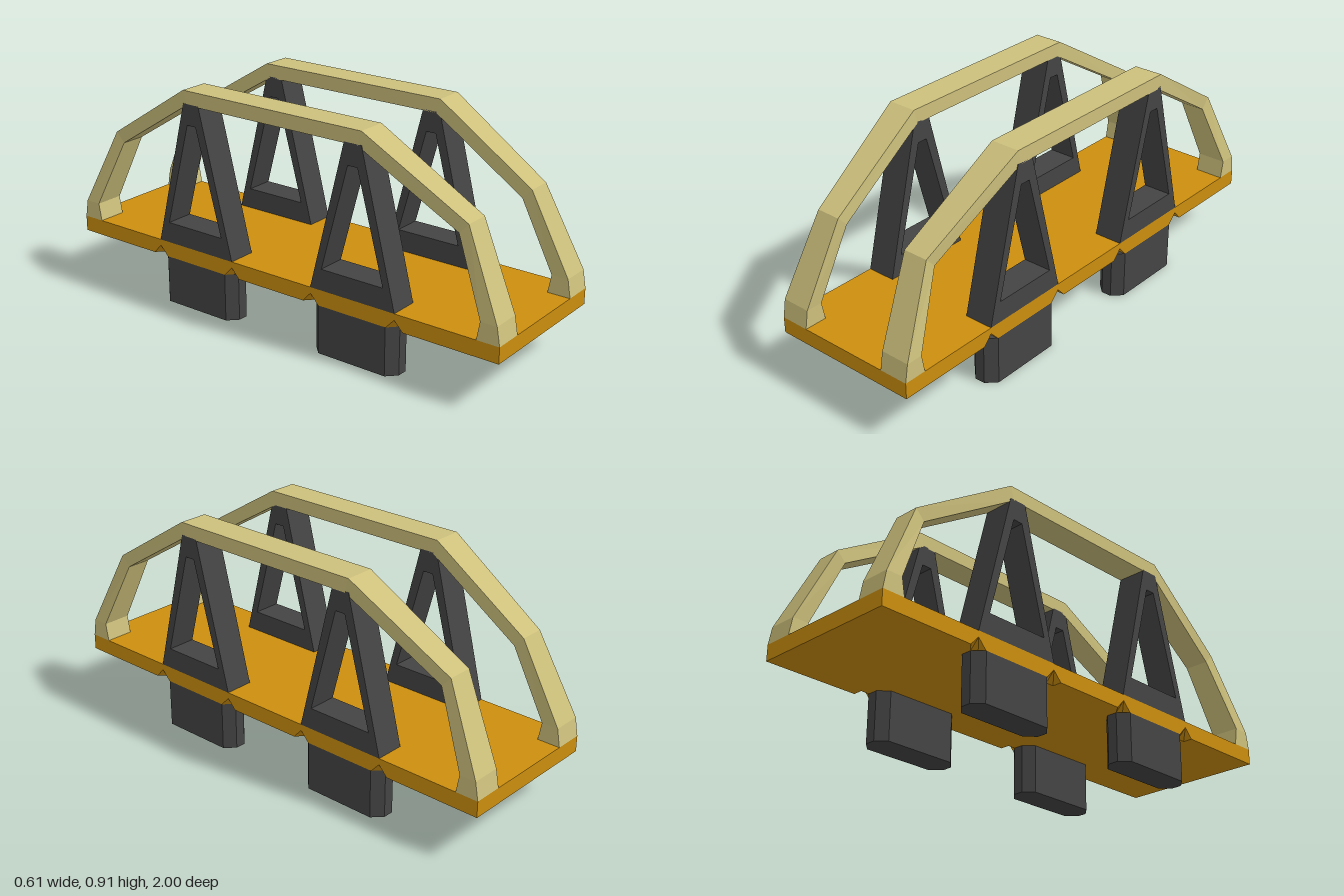
import * as THREE from 'three';

const OUT = 0.307, IN = 0.188, BAND = 0.268;
const BOTTOM = 0.196, TOP = 0.26;

const mat = (name, color) => {
  const m = new THREE.MeshStandardMaterial({ color });
  m.name = name;
  return m;
};

const part = (parent, name, geometry, material) => {
  const mesh = new THREE.Mesh(geometry, material);
  mesh.name = name;
  parent.add(mesh);
  return mesh;
};

const polygon = (pts) => new THREE.Shape(pts.map(([a, b]) => new THREE.Vector2(a, b)));

// Extrudes a (z, y) outline sideways, from x0 to x1
function sideExtrude(shape, x0, x1) {
  const g = new THREE.ExtrudeGeometry(shape, { depth: x1 - x0, bevelEnabled: false });
  return g.rotateY(-Math.PI / 2).translate(x1, 0, 0);
}

// Deck edge strip with V notches that taper away inwards
function deckEdge() {
  const pts = [[-1, BOTTOM]];
  for (const z of [-0.57, -0.193, 0.193, 0.57]) {
    pts.push([z - 0.036, BOTTOM], [z, 0.235], [z + 0.036, BOTTOM]);
  }
  pts.push([1, BOTTOM], [1, TOP], [-1, TOP]);
  const g = sideExtrude(polygon(pts), BAND, OUT);
  const p = g.attributes.position;
  for (let i = 0; i < p.count; i++) {
    if (p.getX(i) < BAND + 0.01 && p.getY(i) < 0.25) p.setY(i, BOTTOM);
  }
  g.computeVertexNormals();
  return g;
}

// Bent arch rail swept through four-cornered cross-sections
function archRail() {
  // outer z, outer y, inner z, inner y, outer x, inner x
  const half = [
    [1, TOP, 0.907, TOP, OUT, IN],
    [0.987, 0.332, 0.92, 0.332, OUT, IN],
    [0.835, 0.65, 0.797, 0.61, 0.263, 0.162],
    [0.418, 0.907, 0.402, 0.85, OUT, IN],
  ];
  const stations = [
    ...half,
    ...half.slice().reverse().map(([oz, oy, iz, iy, xo, xi]) => [-oz, oy, -iz, iy, xo, xi]),
  ];
  const rings = stations.map(([oz, oy, iz, iy, xo, xi]) => [
    [xo, oy, oz], [xi, oy, oz], [xi, iy, iz], [xo, iy, iz],
  ]);
  const v = [];
  for (let s = 0; s + 1 < rings.length; s++) {
    for (let k = 0; k < 4; k++) {
      const n = (k + 1) % 4;
      const a = rings[s][k], b = rings[s][n], c = rings[s + 1][k], d = rings[s + 1][n];
      v.push(...a, ...c, ...b, ...b, ...c, ...d);
    }
  }
  const g = new THREE.BufferGeometry();
  g.setAttribute('position', new THREE.Float32BufferAttribute(v, 3));
  g.computeVertexNormals();
  return g;
}

// Tapered upright with a trapezoid opening
function upright(z) {
  const shape = polygon([
    [z - 0.189, TOP], [z + 0.189, TOP], [z + 0.038, 0.855], [z - 0.038, 0.855],
  ]);
  shape.holes.push(polygon([
    [z - 0.137, 0.345], [z - 0.021, 0.77], [z + 0.021, 0.77], [z + 0.137, 0.345],
  ]));
  return sideExtrude(shape, IN, OUT);
}

// Foot block with chamfered vertical corners
function foot(z) {
  const w = (OUT - IN) / 2, l = 0.189, c = 0.038;
  const shape = polygon([
    [w, -l + c], [w, l - c], [w - c, l], [-w + c, l],
    [-w, l - c], [-w, -l + c], [-w + c, -l], [w - c, -l],
  ]);
  const g = new THREE.ExtrudeGeometry(shape, { depth: BOTTOM, bevelEnabled: false });
  return g.rotateX(-Math.PI / 2).translate((OUT + IN) / 2, 0, z);
}

export function createModel() {
  const model = new THREE.Group();
  model.name = 'archedPlatform';
  const orange = mat('orange deck', 0xcc8e0e);
  const sand = mat('sand rail', 0xcdc07c);
  const dark = mat('dark grey', 0x444444);

  const deck = part(model, 'deck', new THREE.BoxGeometry(BAND * 2, TOP - BOTTOM, 2), orange);
  deck.position.y = (TOP + BOTTOM) / 2;

  // Both sides are the same half turned around
  for (const side of ['left', 'right']) {
    const group = new THREE.Group();
    group.name = side + 'Side';
    if (side === 'right') group.rotation.y = Math.PI;
    part(group, 'deckEdge', deckEdge(), orange);
    part(group, 'archRail', archRail(), sand);
    for (const z of [0.381, -0.381]) {
      part(group, 'upright', upright(z), dark);
      part(group, 'foot', foot(z), dark);
    }
    model.add(group);
  }
  return model;
}
